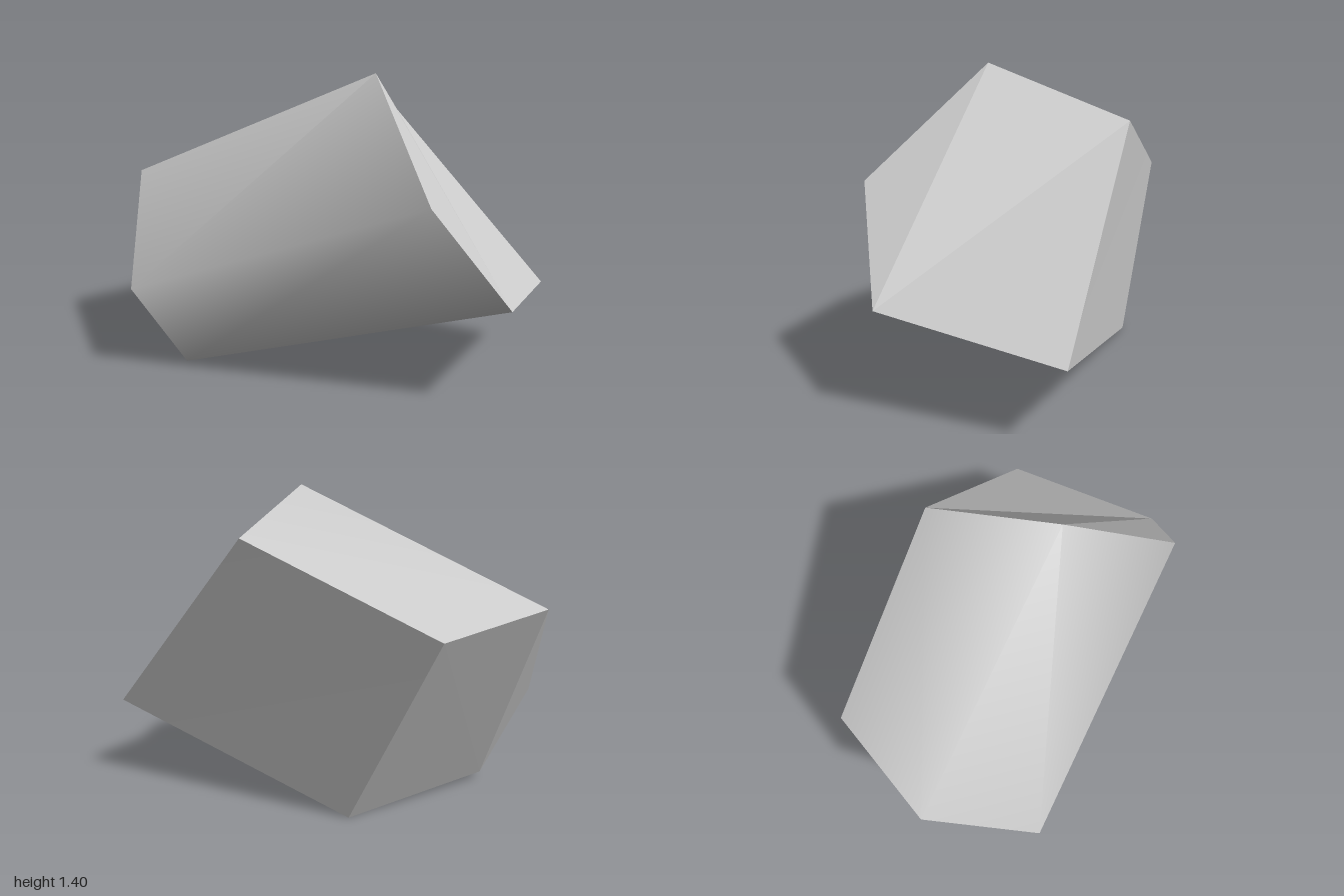
import * as THREE from 'three';
import { toCreasedNormals } from 'three/addons/utils/BufferGeometryUtils.js';

// Corner rings of the five-sided block, in matching order
const rightRing = [
  [0.18, 1.4, 0.16], [0.415, 0.932, 0.67], [0.757, 0.488, 0.59], [1, 0.357, -0.17], [0.272, 1.165, -0.447],
];
const leftRing = [
  [-1, 0.877, -0.215], [-0.923, 0.427, 0.282], [-0.71, 0.027, 0.172], [-0.22, 0, -0.498], [-0.627, 0.793, -0.67],
];

// Separate triangles from a list of corner points
function triangles(points) {
  const g = new THREE.BufferGeometry();
  g.setAttribute('position', new THREE.Float32BufferAttribute(points.flat(), 3));
  g.computeVertexNormals();
  return g;
}

export function createModel() {
  const group = new THREE.Group();
  group.name = 'fivesidedBlock';
  const grey = new THREE.MeshStandardMaterial({ color: 0xcccccc });
  grey.name = 'lightGrey';

  const add = (name, geometry) => {
    const mesh = new THREE.Mesh(geometry, grey);
    mesh.name = name;
    group.add(mesh);
  };

  // Long sides: softly rounded shading, sharp along the two steep corners
  const side = [];
  for (let i = 0; i < 5; i++) {
    const j = (i + 1) % 5;
    const [a, b, c, d] = [rightRing[i], leftRing[i], leftRing[j], rightRing[j]];
    side.push(a, b, c, a, c, d);
  }
  add('sides', toCreasedNormals(triangles(side), THREE.MathUtils.degToRad(70)));

  // Faceted ends
  const facets = [0, 1, 2, 0, 2, 4, 4, 2, 3];
  add('rightEnd', triangles(facets.map((i) => rightRing[i])));
  add('leftEnd', triangles([...facets].reverse().map((i) => leftRing[i])));

  return group;
}
